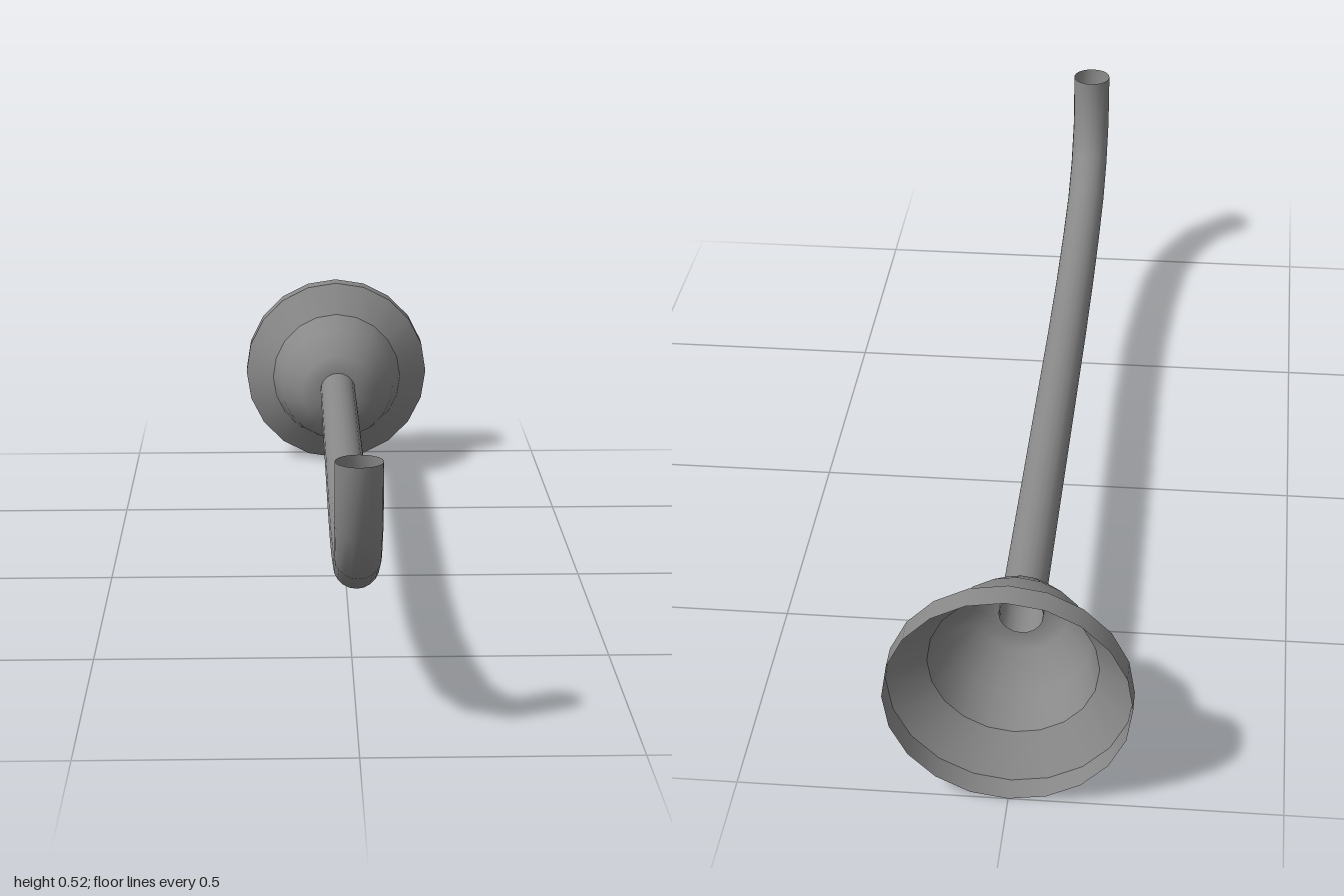
import * as THREE from 'three';

const AXIS_Y = 0.225;

// Path that passes rings exactly through the given corner points
class CornerPath extends THREE.Curve {
  constructor(points) {
    super();
    this.points = points;
  }
  index(u) {
    return Math.round(u * (this.points.length - 1));
  }
  getPointAt(u) {
    return this.points[this.index(u)].clone();
  }
  getTangentAt(u) {
    const p = this.points, i = this.index(u), t = new THREE.Vector3();
    if (i > 0) t.add(p[i].clone().sub(p[i - 1]).normalize());
    if (i < p.length - 1) t.add(p[i + 1].clone().sub(p[i]).normalize());
    return t.normalize();
  }
}

export function createModel() {
  const metal = new THREE.MeshStandardMaterial({ color: 0x888888, side: THREE.DoubleSide });
  metal.name = 'grey metal';
  const group = new THREE.Group();
  group.name = 'pipeWithFlange';

  const add = (name, geometry) => {
    const mesh = new THREE.Mesh(geometry, metal);
    mesh.name = name;
    group.add(mesh);
    return mesh;
  };

  // Open shell turned about the z axis; profile is [radius, z]
  const turned = (name, profile) => {
    const points = profile.map(([r, z]) => new THREE.Vector2(r, z));
    add(name, new THREE.LatheGeometry(points, 20).rotateX(Math.PI / 2)).position.y = AXIS_Y;
  };

  // Hollow bell at the back: rim, sloping flange and rounded dome
  turned('flangeRim', [[0.224, -1], [0.224, -0.95]]);
  turned('flangeSlope', [[0.224, -0.95], [0.157, -0.893]]);
  turned('flangeDome', [[0.157, -0.893], [0.136, -0.81], [0.087, -0.74], [0.041, -0.738]]);

  // Hollow pipe, straight and then curving upward to an open end
  const path = [
    [-0.75, 0.228], [0.25, 0.228], [0.47, 0.237], [0.645, 0.256],
    [0.79, 0.284], [0.882, 0.33], [0.945, 0.408], [0.957, 0.524],
  ].map(([z, y]) => new THREE.Vector3(0, y, z));
  // End ring is kept level
  const curve = new CornerPath(path);
  const pipe = new THREE.TubeGeometry(curve, path.length - 1, 0.042, 20, false);
  const pos = pipe.attributes.position;
  for (let i = pos.count - 21; i < pos.count; i++) pos.setY(i, 0.524);
  add('pipe', pipe);

  return group;
}
